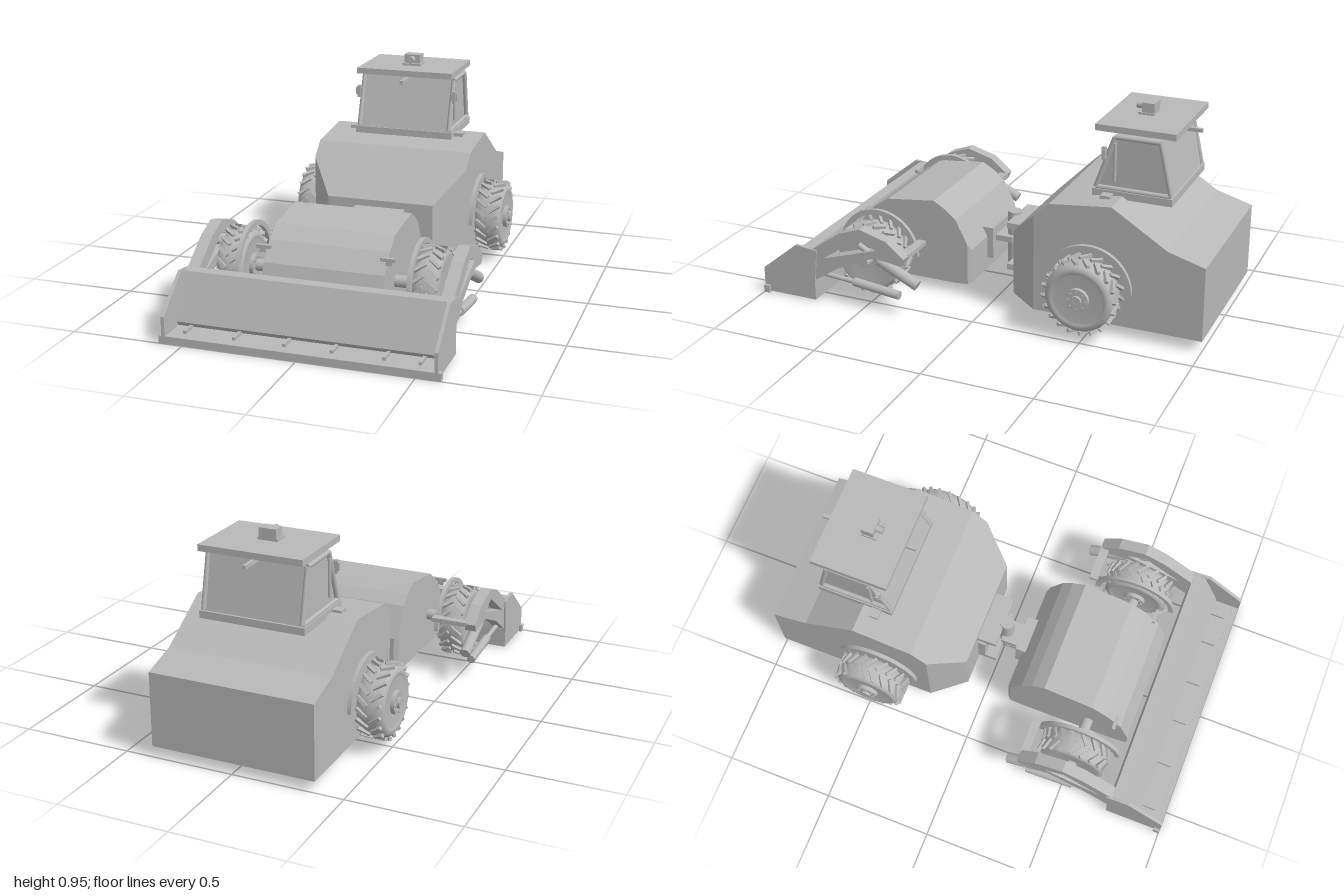
import * as THREE from 'three';

const grey = new THREE.MeshStandardMaterial({ color: 0xb8b8b8, side: THREE.DoubleSide });
grey.name = 'machine grey';

export function createModel() {
  const model = new THREE.Group();
  model.name = 'articulatedVehicle';

  const add = (name, geo, parent = model) => {
    const m = new THREE.Mesh(geo, grey);
    m.name = name;
    parent.add(m);
    return m;
  };
  // Box given by its limits on each axis
  const box = (name, x0, x1, y0, y1, z0, z1, parent) => {
    const m = add(name, new THREE.BoxGeometry(x1 - x0, y1 - y0, z1 - z0), parent);
    m.position.set((x0 + x1) / 2, (y0 + y1) / 2, (z0 + z1) / 2);
    return m;
  };
  // Cylinder between two points
  const rod = (name, a, b, r, parent, sides = 16) => {
    const A = new THREE.Vector3(...a), B = new THREE.Vector3(...b);
    const d = B.clone().sub(A);
    const m = add(name, new THREE.CylinderGeometry(r, r, d.length(), sides), parent);
    m.position.copy(A).add(B).multiplyScalar(0.5);
    m.quaternion.setFromUnitVectors(new THREE.Vector3(0, 1, 0), d.normalize());
    return m;
  };
  // Body made of rectangular sections [z, halfWidth, bottom, top], back to front
  const loft = (name, stations) => {
    const rings = stations.map(([z, w, b, t]) => [[w, b, z], [w, t, z], [-w, t, z], [-w, b, z]]);
    const pos = [];
    const quad = (a, b, c, d) => pos.push(...a, ...b, ...c, ...a, ...c, ...d);
    for (let s = 0; s < rings.length - 1; s++) {
      const p = rings[s], q = rings[s + 1];
      for (let i = 0; i < 4; i++) {
        const j = (i + 1) % 4;
        quad(p[i], p[j], q[j], q[i]);
      }
    }
    quad(...rings[rings.length - 1]);
    quad(...rings[0].slice().reverse());
    const g = new THREE.BufferGeometry();
    g.setAttribute('position', new THREE.Float32BufferAttribute(pos, 3));
    g.computeVertexNormals();
    return add(name, g);
  };
  // Side profile of [z, y] points extruded from x0 to x1
  const slab = (name, pts, x0, x1, parent, hole) => {
    const vec = (list) => list.map(([z, y]) => new THREE.Vector2(-z, y));
    const shape = new THREE.Shape(vec(pts));
    if (hole) shape.holes.push(new THREE.Path(vec(hole)));
    const g = new THREE.ExtrudeGeometry(shape, { depth: x1 - x0, bevelEnabled: false });
    g.rotateY(Math.PI / 2).translate(x0, 0, 0);
    return add(name, g, parent);
  };

  // Rear engine body
  loft('rearBody', [
    [-1, 0.373, 0.05, 0.385], [-0.835, 0.373, 0.05, 0.433], [-0.585, 0.373, 0.05, 0.59],
    [-0.305, 0.373, 0.05, 0.56], [-0.235, 0.373, 0.05, 0.495], [-0.09, 0.255, 0.05, 0.353],
  ]);
  box('rearBellyPlate', -0.31, 0.31, 0.04, 0.05, -0.91, -0.22);

  // Front body with rounded ends
  loft('frontBody', [
    [0.115, 0.25, 0.06, 0.22], [0.13, 0.268, 0.055, 0.25], [0.187, 0.268, 0.05, 0.36],
    [0.235, 0.268, 0.05, 0.402], [0.295, 0.268, 0.05, 0.437], [0.525, 0.268, 0.05, 0.41],
    [0.6, 0.268, 0.05, 0.36], [0.67, 0.268, 0.055, 0.28], [0.715, 0.268, 0.07, 0.15],
  ]);
  box('frontBellyPlate', -0.23, 0.23, 0.04, 0.05, 0.15, 0.65);

  // Articulated joint
  box('jointFrontBlock', -0.085, 0.085, 0.115, 0.265, 0.085, 0.135);
  box('jointTongue', -0.055, 0.055, 0.195, 0.222, 0, 0.1);
  rod('jointPin', [0, 0.08, 0.012], [0, 0.335, 0.012], 0.033, model, 24);
  box('jointUpperBracket', -0.12, 0.12, 0.295, 0.322, -0.1, 0.0);
  box('jointLowerBracket', -0.12, 0.12, 0.09, 0.118, -0.1, 0.0);
  box('jointBackPlate', -0.12, 0.12, 0.115, 0.26, -0.1, -0.055);

  // Cab with sloping front and back
  box('cabBase', -0.24, 0.24, 0.575, 0.608, -0.805, -0.45);
  slab('cabShell', [[-0.455, 0.605], [-0.54, 0.85], [-0.745, 0.85], [-0.795, 0.605]], -0.215, 0.215);
  box('cabRoof', -0.235, 0.235, 0.867, 0.895, -0.81, -0.455);
  box('roofRail', -0.008, 0.008, 0.837, 0.853, -0.855, -0.415);
  box('beaconBase', -0.045, 0.045, 0.893, 0.905, -0.65, -0.58);
  box('beaconBox', -0.04, 0.04, 0.905, 0.947, -0.65, -0.595);
  rod('beaconLens', [0, 0.925, -0.6], [0, 0.925, -0.562], 0.016);

  for (const s of [1, -1]) {
    const side = new THREE.Group();
    side.name = s > 0 ? 'leftCabSide' : 'rightCabSide';
    model.add(side);
    const frame = [[-0.46, 0.612], [-0.542, 0.845], [-0.742, 0.845], [-0.795, 0.612]];
    frame.forEach(([z, y], i) => {
      const [z2, y2] = frame[(i + 1) % 4];
      rod('cabFrameBar', [s * 0.224, y, z], [s * 0.224, y2, z2], 0.011, side, 10);
    });
    rod('doorHandle', [s * 0.23, 0.65, -0.545], [s * 0.23, 0.82, -0.545], 0.008, side, 8);
    box('mirrorArm', s * 0.238 - 0.016, s * 0.238 + 0.016, 0.755, 0.79, -0.508, -0.494, side);
    box('mirrorHead', s * 0.238 - 0.008, s * 0.238 + 0.008, 0.742, 0.8, -0.508, -0.49, side);
    box('cabStep', s * 0.255 - 0.028, s * 0.255 + 0.028, 0.575, 0.597, -0.545, -0.5, side);
  }

  // Wheel built along +y, turned so its hub faces outward or inward
  const R = 0.16;
  const tyreProfile = [
    [0.0, -0.05], [0.1, -0.05], [0.135, -0.062], [0.15, -0.05], [0.156, -0.025], [0.158, 0],
    [0.156, 0.025], [0.15, 0.05], [0.135, 0.062], [0.118, 0.062], [0.11, 0.054], [0.0, 0.054],
  ].map(([r, y]) => new THREE.Vector2(r, y));
  const lugGeo = new THREE.BoxGeometry(0.016, 0.06, 0.014);
  const makeWheel = (name) => {
    const w = new THREE.Group();
    w.name = name;
    add('tyre', new THREE.LatheGeometry(tyreProfile, 40), w);
    rod('hub', [0, 0.05, 0], [0, 0.072, 0], 0.052, w, 24);
    rod('hubCap', [0, 0.07, 0], [0, 0.084, 0], 0.024, w, 16);
    for (let i = 0; i < 8; i++) {
      const a = (i / 8) * Math.PI * 2, x = Math.cos(a) * 0.04, z = Math.sin(a) * 0.04;
      rod('hubBolt', [x, 0.07, z], [x, 0.077, z], 0.006, w, 6);
    }
    // Chevron tread in two staggered rows
    for (let i = 0; i < 40; i++) {
      const a = (i / 40) * Math.PI * 2, row = i % 2 ? 1 : -1;
      const lug = add('treadLug', lugGeo, w);
      lug.position.set(Math.cos(a) * R, row * 0.03, Math.sin(a) * R);
      lug.rotation.set(0, -a, 0);
      lug.rotateX(row * 0.65);
    }
    return w;
  };
  // Half ring mudguard
  const fenderGeo = () => {
    const sh = new THREE.Shape();
    sh.absarc(0, 0, 0.196, 0, Math.PI, false);
    sh.absarc(0, 0, 0.172, Math.PI, 0, true);
    return new THREE.ExtrudeGeometry(sh, { depth: 0.018, bevelEnabled: false, curveSegments: 28 })
      .rotateY(Math.PI / 2);
  };
  for (const s of [1, -1]) {
    const rear = makeWheel('rearWheel');
    rear.position.set(s * 0.45, 0.208, -0.492);
    rear.rotation.z = -s * Math.PI / 2;
    const front = makeWheel('frontWheel');
    front.position.set(s * 0.435, 0.205, 0.515);
    front.rotation.z = s * Math.PI / 2;
    model.add(rear, front);
    add('rearFender', fenderGeo()).position.set(s * 0.382 - 0.009, 0.208, -0.492);
    add('frontFender', fenderGeo()).position.set(s * 0.38 - 0.009, 0.205, 0.515);
    rod('rearAxle', [s * 0.36, 0.208, -0.492], [s * 0.45, 0.208, -0.492], 0.05);
    rod('frontAxle', [s * 0.25, 0.205, 0.515], [s * 0.54, 0.205, 0.515], 0.026);
    // Step pegs on the front body
    box('stepPeg', s * 0.275 - 0.033, s * 0.275 + 0.033, 0.335, 0.35, 0.637, 0.652);
    box('stepPegBracket', s * 0.28 - 0.014, s * 0.28 + 0.014, 0.318, 0.336, 0.635, 0.652);
  }

  // Bucket: back plate, floor, cutting edge and teeth
  slab('bucketShell', [
    [0.745, 0.253], [0.8, 0.253], [0.885, 0.055], [0.868, 0.034],
    [0.99, 0.03], [0.99, 0.005], [0.735, 0.005], [0.735, 0.09],
  ], -0.58, 0.58);
  box('cuttingEdge', -0.605, 0.605, 0, 0.034, 0.972, 1);
  for (const x of [-0.51, -0.29, -0.07, 0.135, 0.355, 0.505])
    box('bucketTooth', x - 0.007, x + 0.007, 0.034, 0.048, 0.885, 0.95);

  for (const s of [1, -1]) {
    const g = new THREE.Group();
    g.name = s > 0 ? 'leftLiftArm' : 'rightLiftArm';
    model.add(g);
    const span = (a, b) => (s > 0 ? [a, b] : [-b, -a]);
    slab('bucketSide', [
      [1, 0.005], [1, 0.118], [0.825, 0.26], [0.72, 0.248], [0.735, 0.09], [0.735, 0.005],
    ], ...span(0.577, 0.592), g);
    // Arched lift arm with an open triangle
    slab('liftArm', [
      [0.75, 0.1], [0.75, 0.245], [0.6, 0.35], [0.5, 0.387], [0.37, 0.35], [0.285, 0.28],
      [0.3, 0.245], [0.43, 0.262], [0.6, 0.19], [0.72, 0.11],
    ], ...span(0.532, 0.585), g, [[0.69, 0.215], [0.51, 0.335], [0.42, 0.3]]);
    // Hydraulic rams
    const x = s * 0.557;
    rod('upperRam', [x, 0.245, 0.42], [x, 0.155, 0.235], 0.025, g);
    rod('upperRamRod', [x, 0.3, 0.52], [x, 0.245, 0.42], 0.014, g);
    rod('lowerRam', [x, 0.115, 0.55], [x, 0.09, 0.325], 0.02, g);
    rod('lowerRamRod', [x, 0.13, 0.74], [x, 0.115, 0.55], 0.011, g);
    const [b0, b1] = span(0.37, 0.54);
    box('armCrossBar', b0, b1, 0.265, 0.285, 0.285, 0.325, g);
  }
  return model;
}
